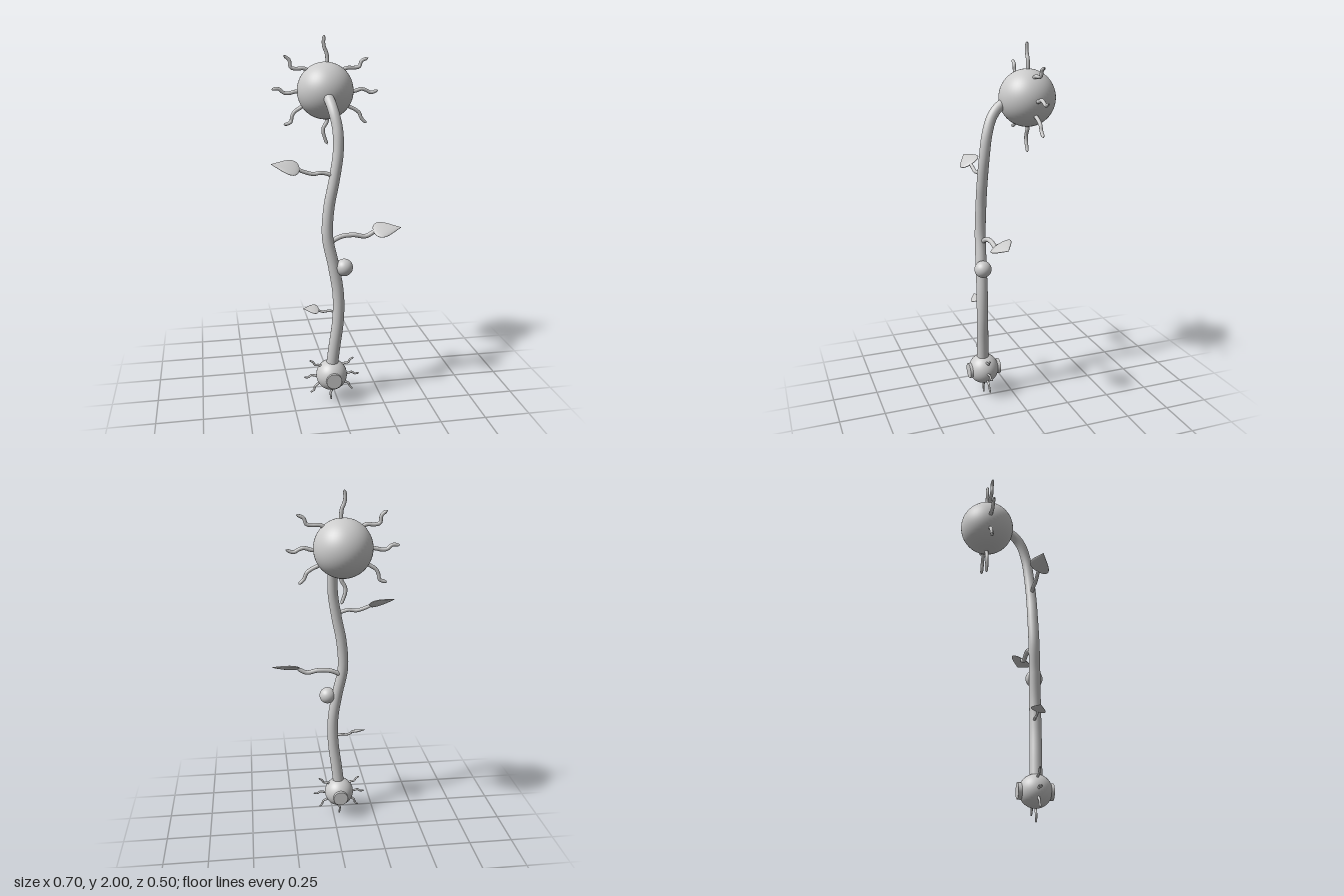
import * as THREE from 'three';

const material = new THREE.MeshStandardMaterial({ color: 0xcccccc, side: THREE.DoubleSide });
const V = (p) => new THREE.Vector3(...p);

function add(parent, name, geometry, position = [0, 0, 0]) {
  const mesh = new THREE.Mesh(geometry, material);
  mesh.name = name;
  mesh.position.set(...position);
  parent.add(mesh);
  return mesh;
}

// Smooth tube through points, tapering from r0 to r1, with a rounded closed tip
function taperedTube(points, r0, r1, segments = 28, sides = 12, tip = 0.08) {
  const curve = new THREE.CatmullRomCurve3(points.map(V));
  const geo = new THREE.TubeGeometry(curve, segments, 1, sides);
  const pos = geo.attributes.position, v = new THREE.Vector3();
  for (let i = 0; i <= segments; i++) {
    const t = i / segments, c = curve.getPointAt(t);
    const k = Math.max(0, (t - 1 + tip) / tip);
    const r = THREE.MathUtils.lerp(r0, r1, t) * Math.sqrt(Math.max(0, 1 - k * k));
    for (let j = 0; j <= sides; j++) {
      const n = i * (sides + 1) + j;
      v.fromBufferAttribute(pos, n).sub(c).multiplyScalar(r).add(c);
      pos.setXYZ(n, v.x, v.y, v.z);
    }
  }
  return geo;
}

// Wavy tendrils around a ball: each row holds the angle in degrees at growing radii
function tendrils(parent, name, centre, radii, rows, r0, r1) {
  const group = new THREE.Group();
  group.name = name;
  group.position.set(...centre);
  rows.forEach((angles) => {
    const points = angles.map((deg, i) => {
      const a = THREE.MathUtils.degToRad(deg);
      return [radii[i] * Math.cos(a), radii[i] * Math.sin(a), 0];
    });
    add(group, 'tendril', taperedTube(points, r0, r1, 20, 10, 0.12));
  });
  parent.add(group);
}

// Thin teardrop blade, blunt at its base (origin) and pointed along +x
function bladeGeometry(length, halfWidth, halfThick) {
  const geo = new THREE.SphereGeometry(1, 32, 24);
  geo.rotateZ(-Math.PI / 2);
  const pos = geo.attributes.position;
  for (let i = 0; i < pos.count; i++) {
    const x = pos.getX(i), w = (1 - 0.8 * x) / 1.21;
    pos.setXYZ(i, (x + 1) * length / 2, pos.getY(i) * halfThick * Math.sqrt(w), pos.getZ(i) * halfWidth * w);
  }
  geo.computeVertexNormals();
  return geo;
}

export function createModel() {
  const model = new THREE.Group();
  model.name = 'vineStaff';

  // Winding stem that bends back into the top ball
  add(model, 'stem', taperedTube([
    [-0.035, 0.2, 0.163], [-0.02, 0.33, 0.168], [0, 0.5, 0.174], [0, 0.65, 0.174],
    [-0.025, 0.81, 0.17], [-0.056, 0.97, 0.163], [-0.047, 1.13, 0.16], [-0.02, 1.27, 0.16],
    [0.003, 1.42, 0.153], [0.003, 1.53, 0.138], [-0.012, 1.62, 0.105],
    [-0.025, 1.675, 0.055], [-0.03, 1.695, 0], [-0.025, 1.7, -0.06],
  ], 0.033, 0.027, 120, 20, 0.01));

  // Top ball with tendrils
  const top = [-0.022, 1.712, -0.098];
  add(model, 'topBall', new THREE.SphereGeometry(0.153, 48, 32), top);
  tendrils(model, 'topTendrils', top, [0.13, 0.165, 0.2, 0.225, 0.252, 0.292], [
    [-3, -1, 2, 0, -3, 0],
    [50, 46, 37, 34, 38, 36],
    [86, 86, 88, 91, 92, 91],
    [130, 134, 144, 146, 140, 140],
    [180, 181, 183, 182, 177, 178],
    [212, 213, 213, 216, 221, 218],
    [275, 273, 267, 267, 269, 272],
    [-36, -33, -32, -33, -37, -38],
  ], 0.011, 0.009);

  // Base ball with a round plug at front and back
  const base = [-0.034, 0.164, 0.16];
  add(model, 'baseBall', new THREE.SphereGeometry(0.086, 40, 28), base);
  const plug = new THREE.CylinderGeometry(0.043, 0.043, 0.184, 32);
  plug.rotateX(Math.PI / 2);
  add(model, 'basePlugs', plug, [-0.034, 0.162, 0.158]);
  tendrils(model, 'baseTendrils', base, [0.075, 0.095, 0.115, 0.132, 0.157], [
    [-3, 0, 2, -3, -2],
    [46, 41, 35, 38, 37],
    [134, 139, 145, 142, 143],
    [183, 180, 178, 183, 182],
    [213, 214, 215, 221, 220],
    [273, 272, 267, 268, 270],
    [-37, -34, -33, -38, -40],
  ], 0.007, 0.005);

  // Round bud on the stem
  add(model, 'bud', new THREE.SphereGeometry(0.047, 32, 24), [0.032, 0.797, 0.178]);

  // Leaves: wavy stalk, then a blade that rises outward and tips down at the front
  const leaves = [
    { name: 'upperLeaf', r: 0.011, blade: [0.15, 0.058, 0.011], rise: 0.2, tilt: 0.55,
      stalk: [[-0.03, 1.3, 0.162], [-0.085, 1.315, 0.162], [-0.13, 1.31, 0.162], [-0.17, 1.32, 0.162], [-0.215, 1.338, 0.162]] },
    { name: 'middleLeaf', r: 0.0135, blade: [0.156, 0.061, 0.011], rise: 0.07, tilt: 0.47,
      stalk: [[-0.04, 0.935, 0.155], [0.02, 0.962, 0.148], [0.09, 0.967, 0.147], [0.155, 0.957, 0.147], [0.21, 0.985, 0.147]] },
    { name: 'lowerLeaf', r: 0.007, blade: [0.088, 0.039, 0.007], rise: 0.1, tilt: 0.3,
      stalk: [[-0.01, 0.54, 0.165], [-0.05, 0.547, 0.163], [-0.085, 0.545, 0.163], [-0.118, 0.56, 0.163]] },
  ];
  leaves.forEach(({ name, r, blade, rise, tilt, stalk }) => {
    const leaf = new THREE.Group();
    leaf.name = name;
    add(leaf, 'stalk', taperedTube(stalk, r, r * 0.9));
    const end = [...stalk[stalk.length - 1]];
    const side = Math.sign(end[0]);
    end[0] -= side * 0.014;
    const geo = bladeGeometry(...blade);
    if (side < 0) geo.rotateY(Math.PI);
    geo.rotateX(tilt);
    geo.rotateZ(side * rise);
    add(leaf, 'blade', geo, end);
    model.add(leaf);
  });

  return model;
}
